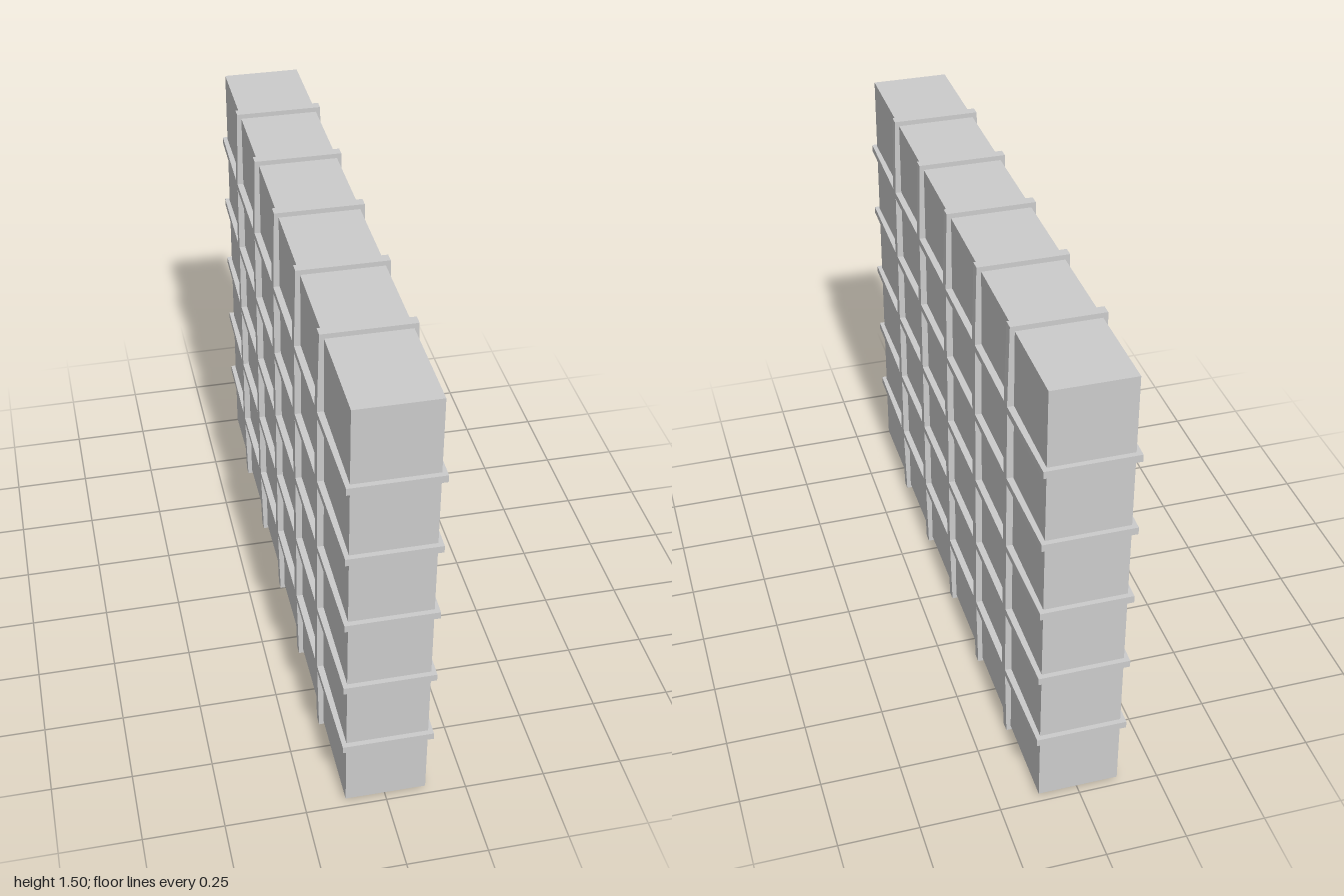
import * as THREE from 'three';

const material = new THREE.MeshStandardMaterial({ color: 0xcccccc, flatShading: true });
const coreW = 0.25, coreH = 1.474, coreD = 1.968, midY = 0.7525;

// Flat band wrapped around the core: narrow at both ends, slightly wider between the outer crossings
function bandGeometry(start, end, low, high, thickness) {
  const narrow = 0.139, wide = 0.145;
  const outline = [
    [-narrow, start], [narrow, start], [wide, low], [wide, high],
    [narrow, end], [-narrow, end], [-wide, high], [-wide, low],
  ].map(([x, y]) => new THREE.Vector2(x, y));
  const geometry = new THREE.ExtrudeGeometry(new THREE.Shape(outline), { depth: thickness, bevelEnabled: false });
  return geometry.translate(0, 0, -thickness / 2);
}

export function createModel() {
  const model = new THREE.Group();
  model.name = 'griddedWallPanel';

  // Solid slab
  const core = new THREE.Mesh(new THREE.BoxGeometry(coreW, coreH, coreD), material);
  core.name = 'core';
  core.position.y = midY;
  model.add(core);

  const upright = bandGeometry(0, 1.505, 0.24, 1.25, 0.032);
  // Turned so that its length runs along z and its thickness along y
  const level = bandGeometry(-1, 1, -0.688, 0.656, 0.023).rotateX(Math.PI / 2);

  for (let i = 0; i < 5; i++) {
    // Bands running over the top, sides and bottom
    const vertical = new THREE.Mesh(upright, material);
    vertical.name = `verticalBand${i + 1}`;
    vertical.position.z = -0.672 + i * 0.328;
    model.add(vertical);

    // Bands running around the front, sides and back
    const horizontal = new THREE.Mesh(level, material);
    horizontal.name = `horizontalBand${i + 1}`;
    horizontal.position.y = 0.25 + i * 0.2465;
    model.add(horizontal);
  }
  return model;
}
